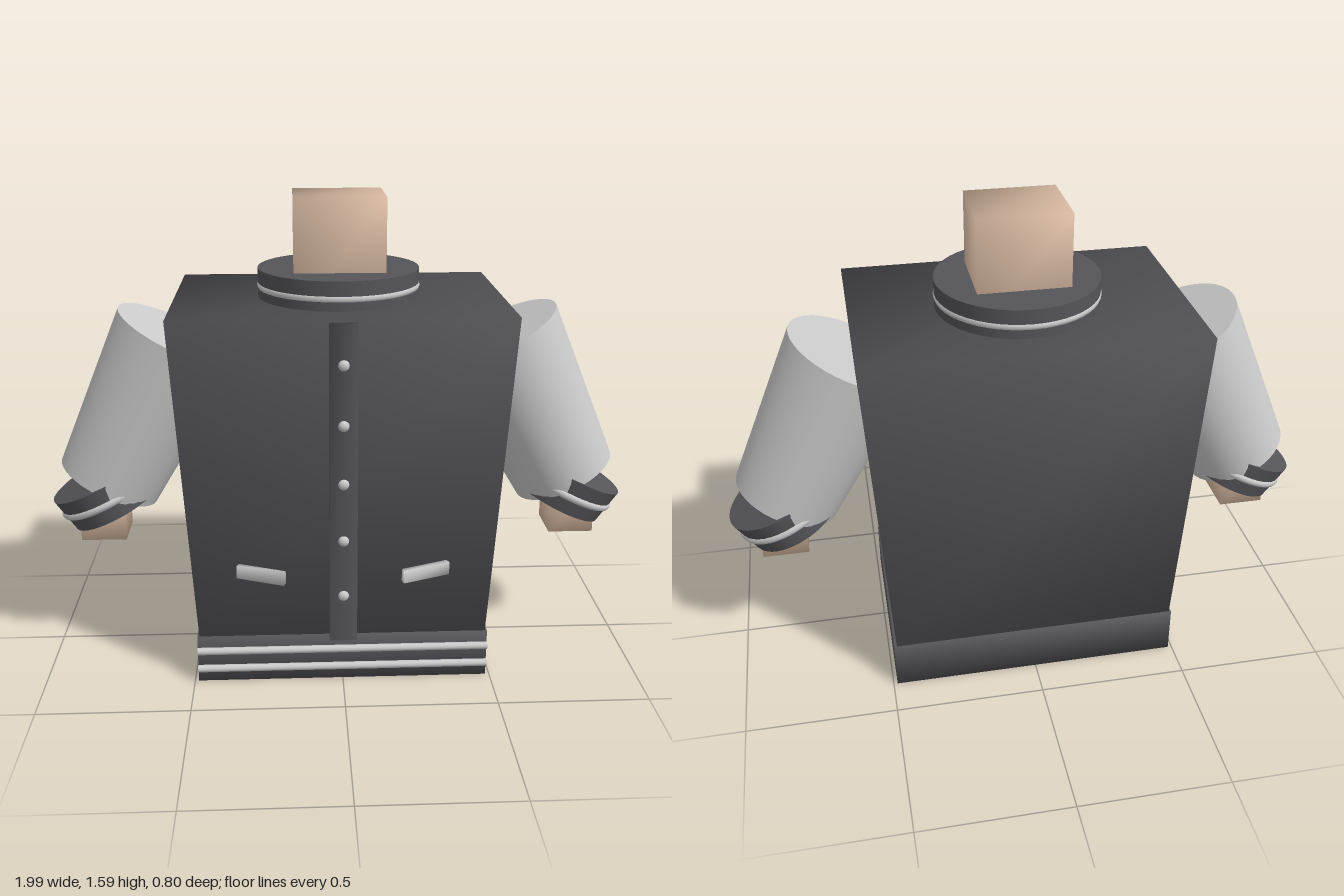
import * as THREE from 'three';
import { mergeVertices } from 'three/addons/utils/BufferGeometryUtils.js';

const cloth = new THREE.MeshStandardMaterial({ color: 0x55555a });
const pale = new THREE.MeshStandardMaterial({ color: 0xcccccc });
const skin = new THREE.MeshStandardMaterial({ color: 0xe3c3aa });
const UP = new THREE.Vector3(0, 1, 0);
const MID_Z = -0.028;

function add(parent, name, geometry, material, x = 0, y = 0, z = 0) {
  const mesh = new THREE.Mesh(geometry, material);
  mesh.name = name;
  mesh.position.set(x, y, z);
  parent.add(mesh);
  return mesh;
}

// Box with shared corners, so its shading is smooth across the edges
function softBox(w, h, d) {
  const g = new THREE.BoxGeometry(w, h, d);
  g.deleteAttribute('normal');
  g.deleteAttribute('uv');
  const merged = mergeVertices(g);
  merged.computeVertexNormals();
  return merged;
}

// Tapered cylinder running from point a (radius ra) to point b (radius rb)
function limb(parent, name, material, a, b, ra, rb) {
  const axis = a.clone().sub(b);
  const mesh = add(parent, name, new THREE.CylinderGeometry(ra, rb, axis.length(), 40), material);
  mesh.position.copy(a).add(b).multiplyScalar(0.5);
  mesh.quaternion.setFromUnitVectors(UP, axis.normalize());
  return mesh;
}

function ring(radius, tube) {
  return new THREE.TorusGeometry(radius, tube, 10, 48).rotateX(Math.PI / 2);
}

function makeArm(side) {
  const arm = new THREE.Group();
  arm.name = side > 0 ? 'leftArm' : 'rightArm';
  const p = (x, y) => new THREE.Vector3(side * x, y, MID_Z);

  limb(arm, 'sleeve', pale, p(0.536, 1.117), p(0.797, 0.605), 0.22, 0.179);
  const cuff = limb(arm, 'cuff', cloth, p(0.827, 0.624), p(0.772, 0.512), 0.188, 0.17);
  add(cuff, 'cuffStripe', ring(0.174, 0.014), pale);
  add(arm, 'hand', softBox(0.155, 0.17, 0.155), skin, side * 0.82, 0.49, MID_Z);
  return arm;
}

export function createModel() {
  const model = new THREE.Group();
  model.name = 'jacketFigure';

  // Torso, narrowing towards the waist
  const torso = softBox(1.085, 1.085, 0.745);
  const pos = torso.attributes.position;
  for (let i = 0; i < pos.count; i++) {
    if (pos.getY(i) < 0) {
      pos.setX(i, pos.getX(i) * 0.885);
      pos.setZ(i, pos.getZ(i) * 0.92);
    }
  }
  torso.computeVertexNormals();
  add(model, 'torso', torso, cloth, 0, 0.7075, MID_Z);

  // Waistband with two stripes across the front
  add(model, 'waistband', softBox(0.974, 0.165, 0.695), cloth, 0, 0.0825, MID_Z);
  for (const y of [0.05, 0.115]) {
    const stripe = new THREE.CylinderGeometry(0.0125, 0.0125, 0.974, 12).rotateZ(Math.PI / 2);
    add(model, 'waistStripe', stripe, pale, 0, y, 0.327);
  }

  // Front placket and buttons
  add(model, 'placket', softBox(0.09, 1.075, 0.04), cloth, 0, 0.7025, 0.342);
  for (let i = 0; i < 5; i++) {
    const button = new THREE.SphereGeometry(0.018, 16, 10).scale(1, 1, 0.75);
    add(model, 'button', button, pale, 0, 0.33 + i * 0.195, 0.361);
  }

  // Slanted pocket trims
  for (const side of [-1, 1]) {
    const trim = add(model, 'pocketTrim', softBox(0.165, 0.043, 0.02), pale, side * 0.268, 0.411, 0.36);
    trim.rotation.y = side * 0.38;
  }

  // Collar, stripe and neck
  add(model, 'collar', new THREE.CylinderGeometry(0.267, 0.267, 0.1, 48), cloth, 0, 1.295, MID_Z);
  add(model, 'collarStripe', ring(0.255, 0.015), pale, 0, 1.288, MID_Z);
  add(model, 'neck', softBox(0.298, 0.385, 0.258), skin, 0, 1.3925, MID_Z);

  for (const side of [-1, 1]) model.add(makeArm(side));
  return model;
}
